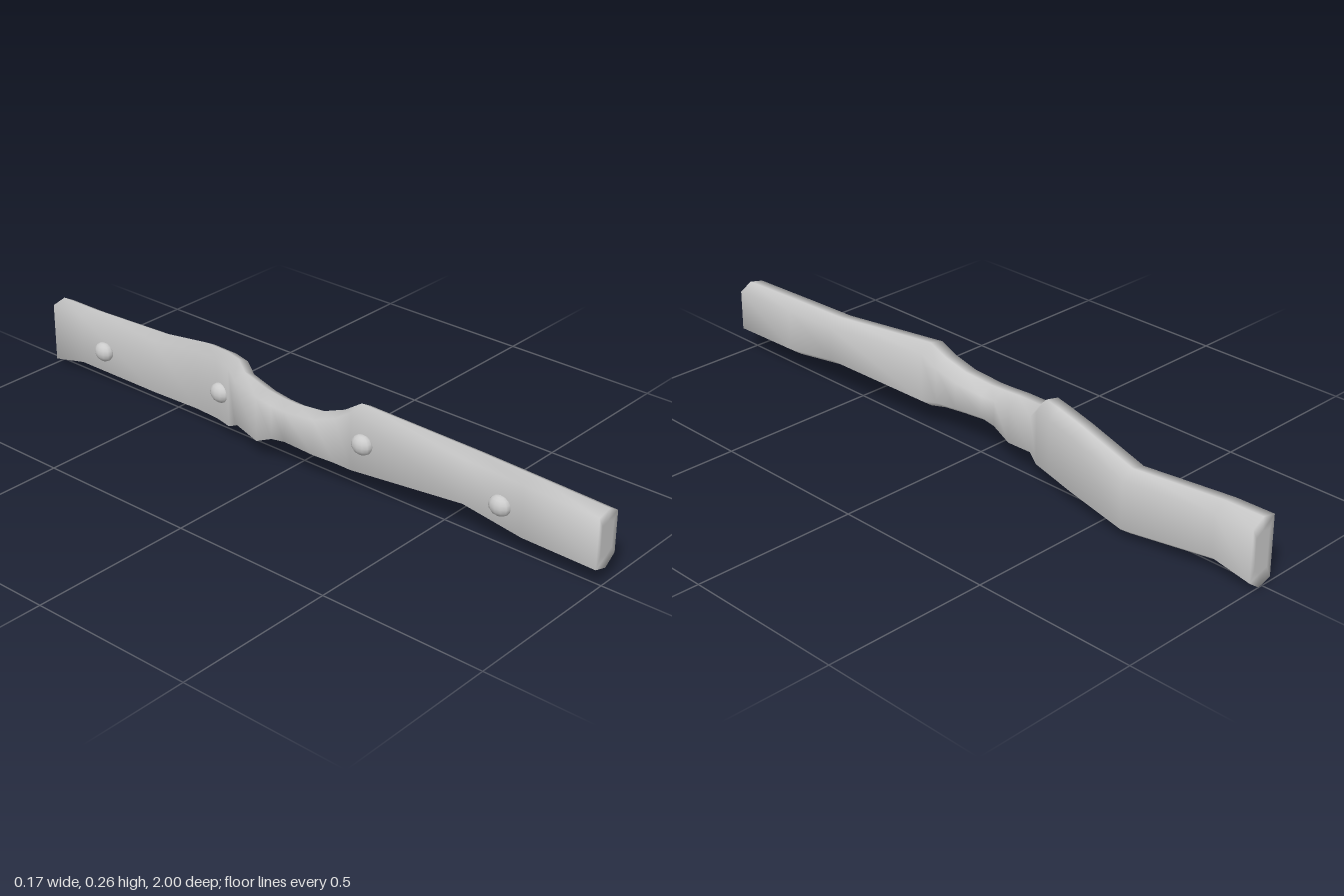
import * as THREE from 'three';

// Stations along the beam: [z, centre x, top ridge y, bottom ridge y]
const STATIONS = [
  [1, 0.01, 0.222, 0.048], [0.77, 0.01, 0.23, 0.052], [0.58, 0.01, 0.236, 0.08],
  [0.22, -0.02, 0.262, 0.062], [0.17, -0.03, 0.23, 0.07], [0.1, -0.039, 0.205, 0.073],
  [0, -0.043, 0.197, 0.08], [-0.05, -0.043, 0.199, 0.072], [-0.11, -0.04, 0.205, 0.043],
  [-0.21, -0.022, 0.218, 0.058], [-0.24, -0.015, 0.247, 0.035], [-0.3, 0, 0.247, 0.034],
  [-0.4, 0.018, 0.237, 0.025], [-0.6, 0.042, 0.197, 0.003], [-0.88, 0.012, 0.204, 0.025],
  [-1, 0.01, 0.205, 0],
];
const HALF_WIDTH = 0.042;

// Six-sided section with a ridge above and below; scale shrinks it for the end caps
function section([z, x, top, bottom], scale = 1) {
  const w = HALF_WIDTH, mid = (top + bottom) / 2;
  return [
    [w, bottom + 0.028], [w, top - 0.022], [0.003, top],
    [-w, top - 0.01], [-w, bottom + 0.013], [0.003, bottom],
  ].map(([dx, y]) => [x + dx * scale, mid + (y - mid) * scale, z]);
}

function beamGeometry() {
  const first = STATIONS[0], last = STATIONS[STATIONS.length - 1];
  const rings = [
    section(first, 0), section(first, 0.6),
    ...STATIONS.map((s) => section(s)),
    section(last, 0.6), section(last, 0),
  ];
  const n = 6, index = [];
  for (let i = 0; i < rings.length - 1; i++) {
    for (let j = 0; j < n; j++) {
      const a = i * n + j, b = i * n + (j + 1) % n;
      index.push(a, a + n, b, b, a + n, b + n);
    }
  }
  const geometry = new THREE.BufferGeometry();
  geometry.setAttribute('position', new THREE.Float32BufferAttribute(rings.flat(2), 3));
  geometry.setIndex(index);
  geometry.computeVertexNormals();
  return geometry;
}

export function createModel() {
  const group = new THREE.Group();
  group.name = 'woodenBeam';
  const material = new THREE.MeshStandardMaterial({ color: 0xcccccc });

  // Crooked plank
  const beam = new THREE.Mesh(beamGeometry(), material);
  beam.name = 'beam';
  group.add(beam);

  // Domed nail heads along one side
  const nailGeometry = new THREE.SphereGeometry(1, 12, 8);
  const nails = [[-0.033, 0.135, 0.7], [-0.062, 0.168, 0.26], [-0.048, 0.14, -0.28], [-0.024, 0.1, -0.79]];
  nails.forEach(([x, y, z], i) => {
    const nail = new THREE.Mesh(nailGeometry, material);
    nail.name = `nailHead${i + 1}`;
    nail.position.set(x, y, z);
    nail.scale.set(0.024, 0.03, 0.034);
    group.add(nail);
  });
  return group;
}
